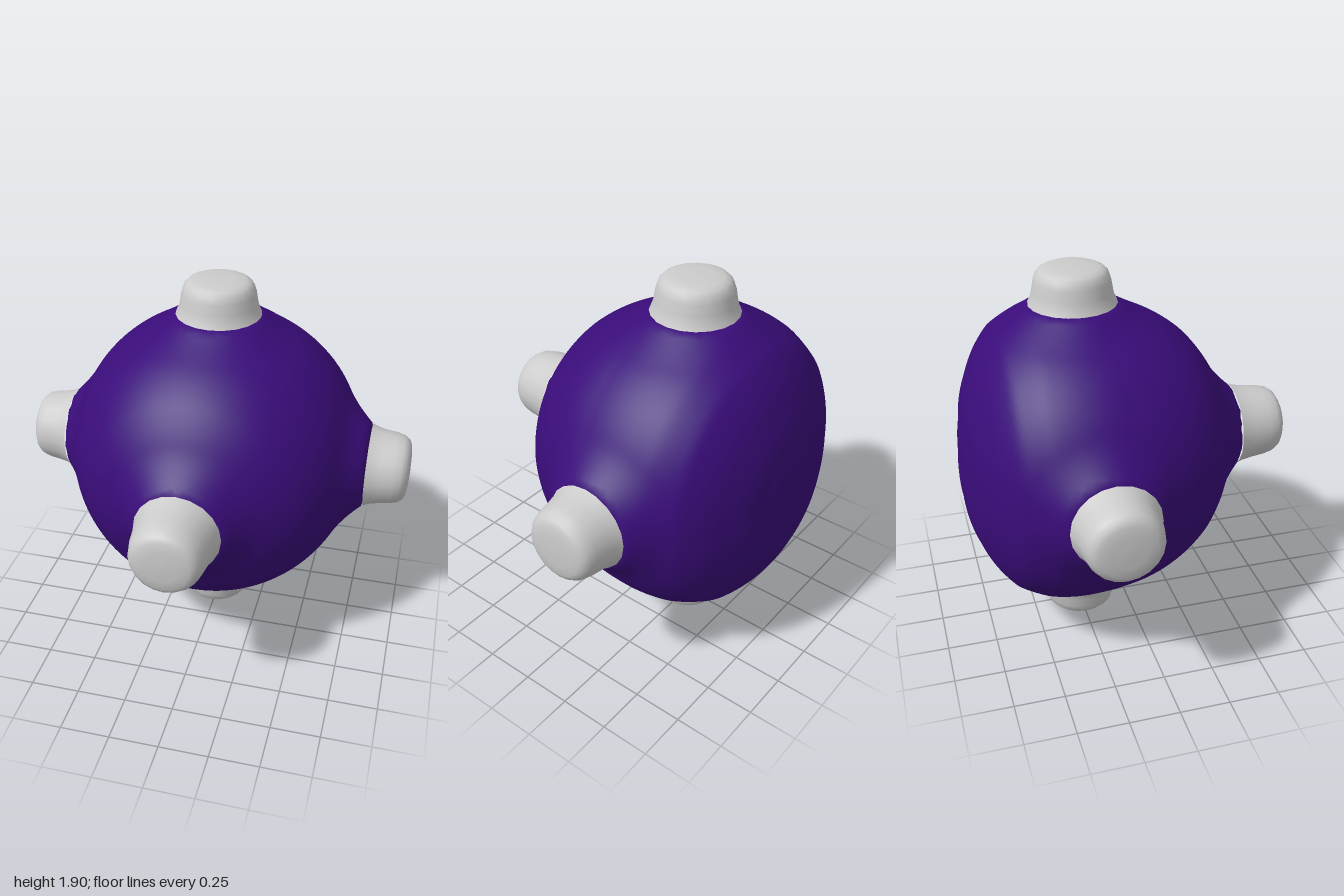
import * as THREE from 'three';
import { mergeVertices } from 'three/addons/utils/BufferGeometryUtils.js';

const CENTER = new THREE.Vector3(-0.01, 0.96, -0.25);

// Each knob: outward axis, distance of its base and of its tip from the centre
const KNOBS = [
  { name: 'topKnob', axis: [0, 1, 0], base: 0.76, tip: 0.94 },
  { name: 'bottomKnob', axis: [0, -1, 0], base: 0.78, tip: 0.96 },
  { name: 'leftKnob', axis: [1, 0, 0], base: 0.795, tip: 1.01 },
  { name: 'rightKnob', axis: [-1, 0, 0], base: 0.785, tip: 0.99 },
  { name: 'frontKnob', axis: [0, 0, 1], base: 0.82, tip: 1.08 },
].map(k => ({ ...k, axis: new THREE.Vector3(...k.axis) }));
const NECK = 0.21;

// Body radius by angle (degrees) away from the flattened back
const RADII = [[0, 0.58], [21, 0.602], [40, 0.66], [50, 0.702], [60, 0.742], [72, 0.755], [100, 0.75], [135, 0.775], [180, 0.77]];

function baseRadius(dir) {
  const a = THREE.MathUtils.radToDeg(Math.acos(THREE.MathUtils.clamp(-dir.z, -1, 1)));
  let i = 1;
  while (i < RADII.length - 1 && a > RADII[i][0]) i++;
  const [a0, r0] = RADII[i - 1], [a1, r1] = RADII[i];
  const r = THREE.MathUtils.lerp(r0, r1, (a - a0) / (a1 - a0));
  // slightly fuller towards the lower back
  return r + 0.06 * Math.max(0, -dir.y) * Math.max(0, -dir.z);
}

// Rounded body that flares up into a short neck at every knob
function bodyRadius(dir) {
  let r = baseRadius(dir);
  for (const { axis, base } of KNOBS) {
    const angle = Math.acos(THREE.MathUtils.clamp(dir.dot(axis), -1, 1));
    const edge = Math.atan(NECK / base);
    if (angle < edge) return (base - 0.004) / Math.cos(angle);
    const f = Math.max(0, 1 - (angle - edge) / 0.27);
    r += (Math.hypot(base, NECK) - r) * f * f;
  }
  return r;
}

function makeBody() {
  let g = new THREE.IcosahedronGeometry(1, 28);
  g.deleteAttribute('uv');
  g.deleteAttribute('normal');
  g = mergeVertices(g, 1e-4);
  const p = g.attributes.position, v = new THREE.Vector3();
  for (let i = 0; i < p.count; i++) {
    v.fromBufferAttribute(p, i).normalize();
    v.multiplyScalar(bodyRadius(v));
    p.setXYZ(i, v.x, v.y, v.z);
  }
  g.computeVertexNormals();
  return g;
}

// Blunt knob profile: radius and fraction of the height
const PROFILE = [[0.213, 0], [0.2, 0.15], [0.191, 0.35], [0.183, 0.62], [0.172, 0.8], [0.155, 0.9], [0.13, 0.96], [0.08, 0.99], [0, 1]];

function makeKnob(height) {
  return new THREE.LatheGeometry(PROFILE.map(([r, t]) => new THREE.Vector2(r, t * height)), 20);
}

export function createModel() {
  const model = new THREE.Group();
  const purple = new THREE.MeshStandardMaterial({ color: 0x3a0c7a });
  const grey = new THREE.MeshStandardMaterial({ color: 0xcccccc });

  const body = new THREE.Mesh(makeBody(), purple);
  body.name = 'body';
  body.position.copy(CENTER);
  model.add(body);

  const up = new THREE.Vector3(0, 1, 0);
  for (const { name, axis, base, tip } of KNOBS) {
    const knob = new THREE.Mesh(makeKnob(tip - base), grey);
    knob.name = name;
    knob.quaternion.setFromUnitVectors(up, axis);
    knob.position.copy(CENTER).addScaledVector(axis, base);
    model.add(knob);
  }
  return model;
}
